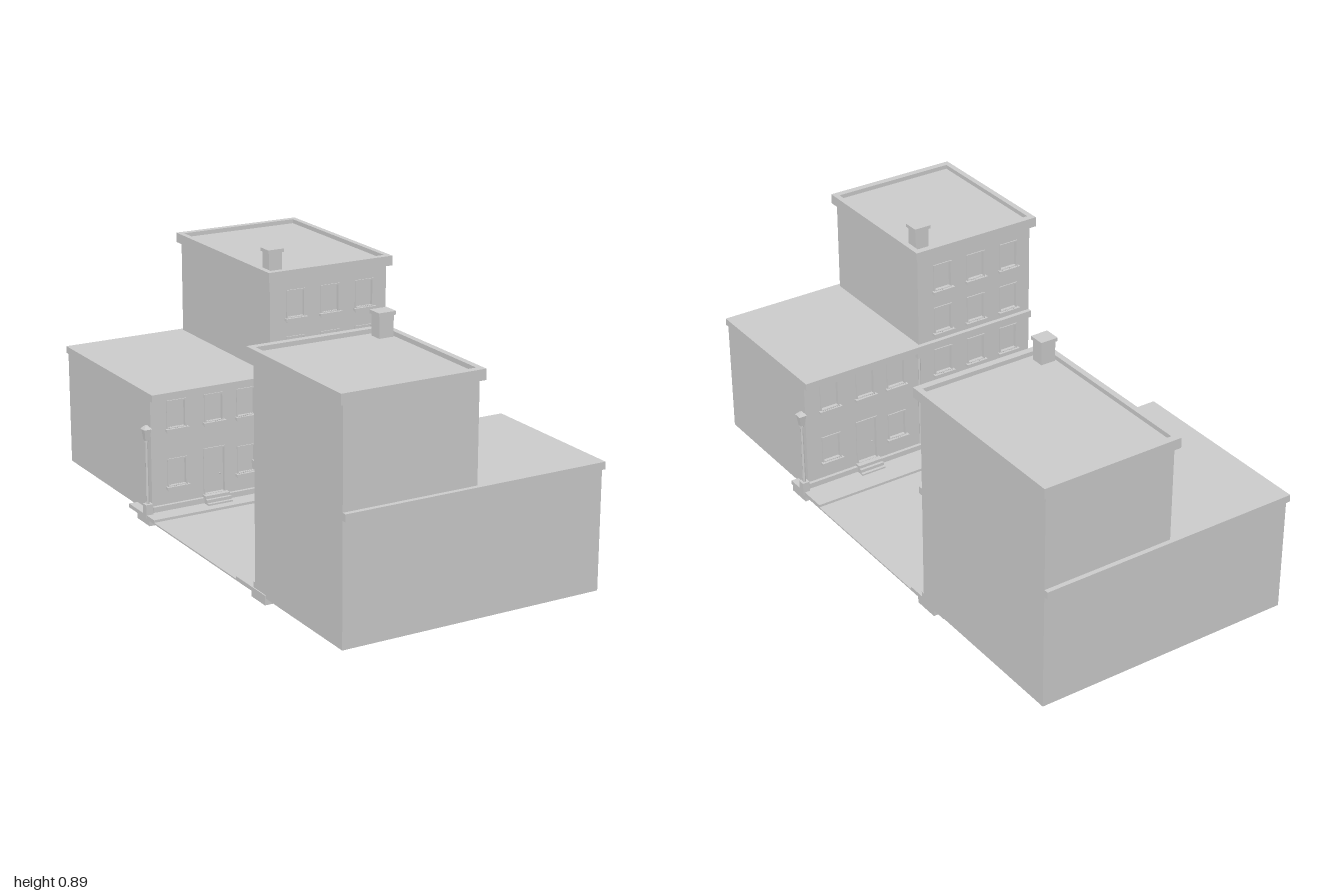
import * as THREE from 'three';

const mat = new THREE.MeshStandardMaterial({ color: 0xcccccc, side: THREE.DoubleSide, flatShading: true });

function add(parent, name, geometry, x = 0, y = 0, z = 0) {
  const m = new THREE.Mesh(geometry, mat);
  m.name = name;
  m.position.set(x, y, z);
  parent.add(m);
  return m;
}

// Box given by its limits on each axis
function block(parent, name, x0, x1, y0, y1, z0, z1) {
  return add(parent, name, new THREE.BoxGeometry(x1 - x0, y1 - y0, z1 - z0),
    (x0 + x1) / 2, (y0 + y1) / 2, (z0 + z1) / 2);
}

// Rectangle outline, optionally with a round arch on top
function outline(Type, x0, x1, y0, y1, arched = false) {
  const p = new Type();
  const r = (x1 - x0) / 2;
  p.moveTo(x0, y0);
  p.lineTo(x1, y0);
  if (arched) {
    p.lineTo(x1, y1 - r);
    p.absarc((x0 + x1) / 2, y1 - r, r, 0, Math.PI, false);
  } else {
    p.lineTo(x1, y1);
    p.lineTo(x0, y1);
  }
  p.closePath();
  return p;
}

const extrude = (shape, depth) =>
  new THREE.ExtrudeGeometry(shape, { depth, bevelEnabled: false, curveSegments: 10 });

// Trim, filling and hole for one opening
function opening(parent, name, wall, x0, x1, y0, y1, arched) {
  wall.holes.push(outline(THREE.Path, x0, x1, y0, y1, arched));
  const t = 0.005;
  const frame = outline(THREE.Shape, x0 - t, x1 + t, y0 - t, y1 + t, arched);
  frame.holes.push(outline(THREE.Path, x0, x1, y0, y1, arched));
  add(parent, name + 'Frame', extrude(frame, 0.008), 0, 0, -0.004);
  add(parent, name + 'Panel', extrude(outline(THREE.Shape, x0, x1, y0, y1, arched), 0.002), 0, 0, -0.011);
}

function addWindow(parent, wall, x, y) {
  const g = new THREE.Group();
  g.name = 'window';
  parent.add(g);
  opening(g, 'window', wall, x - 0.032, x + 0.032, y - 0.046, y + 0.046, false);
  block(g, 'sill', x - 0.043, x + 0.043, y - 0.057, y - 0.048, 0, 0.014);
  block(g, 'sillBracket', x - 0.038, x + 0.038, y - 0.063, y - 0.057, 0, 0.009);
  for (let i = -4; i <= 4; i++)
    add(g, 'sillSpike', new THREE.ConeGeometry(0.0015, 0.01, 4), x + i * 0.008, y - 0.043, 0.009);
}

function addDoor(parent, wall, x, w, top, arched) {
  const g = new THREE.Group();
  g.name = 'entrance';
  parent.add(g);
  opening(g, 'door', wall, x - w / 2, x + w / 2, 0.065, top, arched);
  add(g, 'doorKnob', new THREE.SphereGeometry(0.003, 8, 6), x + w * 0.32, 0.13, -0.005);
  for (let i = 0; i < 3; i++)
    block(g, 'step', x - 0.047, x + 0.047, 0.02, 0.064 - i * 0.011, 0, 0.023 + i * 0.011);
}

// Hollow body open at the bottom, with its front replaced by a pierced facade
function addBuilding(row, name, x0, x1, top, depth, columns, floors, door) {
  const g = new THREE.Group();
  g.name = name;
  row.add(g);
  const shell = block(g, 'walls', x0, x1, 0.025, top, -depth, 0);
  const idx = Array.from(shell.geometry.index.array);
  idx.splice(18, 12);
  shell.geometry.setIndex(idx);

  const wall = outline(THREE.Shape, x0, x1, 0.025, top);
  floors.forEach((y, f) => columns.forEach((x, c) => {
    if (f > 0 || c !== 1) addWindow(g, wall, x, y);
  }));
  addDoor(g, wall, columns[1], ...door);
  add(g, 'facade', extrude(wall, 0.012), 0, 0, -0.012);

  // Plinth on both sides of the entrance
  const dx = columns[1];
  block(g, 'plinth', x0, dx - 0.047, 0.025, 0.055, 0, 0.012);
  block(g, 'plinth', dx + 0.047, x1, 0.025, 0.055, 0, 0.012);
  return g;
}

function addLamp(row, x, z) {
  const g = new THREE.Group();
  g.name = 'streetLamp';
  g.position.set(x, 0, z);
  row.add(g);
  block(g, 'lampBase', -0.013, 0.013, 0.025, 0.073, -0.013, 0.013);
  add(g, 'lampPost', new THREE.CylinderGeometry(0.004, 0.006, 0.23, 8), 0, 0.187, 0);
  add(g, 'lampCollar', new THREE.CylinderGeometry(0.008, 0.008, 0.006, 8), 0, 0.297, 0);
  const lantern = add(g, 'lantern', new THREE.CylinderGeometry(0.018, 0.011, 0.04, 4), 0, 0.32, 0);
  const cap = add(g, 'lanternCap', new THREE.CylinderGeometry(0.006, 0.021, 0.012, 4), 0, 0.346, 0);
  lantern.rotation.y = cap.rotation.y = Math.PI / 4;
}

// A tall and a low house side by side, facing +z
function makeRow(name, depth) {
  const row = new THREE.Group();
  row.name = name;
  const o = 0.016;

  const tall = addBuilding(row, 'tallHouse', 0.012, 0.478, 0.805, depth,
    [0.113, 0.25, 0.388], [0.16, 0.365, 0.53, 0.695], [0.085, 0.265, true]);
  block(tall, 'frontBand', 0.012, 0.478, 0.43, 0.455, 0, o);
  block(tall, 'backBand', 0.012, 0.478, 0.43, 0.455, -depth - o, -depth);

  // Cornice ring rising above the sunken roof
  const ring = outline(THREE.Shape, 0, 0.494, -o, depth + o);
  ring.holes.push(outline(THREE.Path, 0.02, 0.474, 0.008, depth - 0.008));
  add(tall, 'cornice', extrude(ring, 0.035), 0, 0.785, 0).rotation.x = -Math.PI / 2;
  block(tall, 'chimney', 0.025, 0.077, 0.8, 0.876, -0.074, -0.028);
  block(tall, 'chimneyCap', 0.02, 0.082, 0.876, 0.888, -0.079, -0.023);

  const low = addBuilding(row, 'lowHouse', -0.45, 0.012, 0.44, depth,
    [-0.353, -0.21, -0.085], [0.165, 0.372], [0.075, 0.225, false]);
  block(low, 'roofSlab', -0.45, 0.012, 0.43, 0.455, -depth - o, o);

  // Rainwater pipe at the joint of the houses
  add(row, 'drainpipe', new THREE.CylinderGeometry(0.005, 0.005, 0.37, 8), 0.008, 0.245, 0.008);
  block(row, 'drainHopper', -0.002, 0.018, 0.41, 0.43, 0, 0.016);
  addLamp(row, -0.471, 0.01);
  return row;
}

export function createModel() {
  const model = new THREE.Group();
  model.name = 'street';

  const back = makeRow('backRow', 0.66);
  back.position.z = -0.324;
  const front = makeRow('frontRow', 0.529);
  front.position.z = 0.455;
  front.rotation.y = Math.PI;
  model.add(back, front);

  // Road, pavements and footings
  block(model, 'road', -0.482, 0.478, 0.022, 0.027, -0.25, 0.335);
  block(model, 'backPavement', -0.482, 0.478, 0.022, 0.036, -0.44, -0.247);
  block(model, 'frontPavement', -0.482, 0.478, 0.022, 0.036, 0.335, 0.525);
  for (const [x0, x1] of [[-0.478, -0.014], [-0.012, 0.478]]) {
    block(model, 'backFooting', x0, x1, 0, 0.022, -0.383, -0.29);
    block(model, 'frontFooting', x0, x1, 0, 0.022, 0.43, 0.517);
  }
  return model;
}
